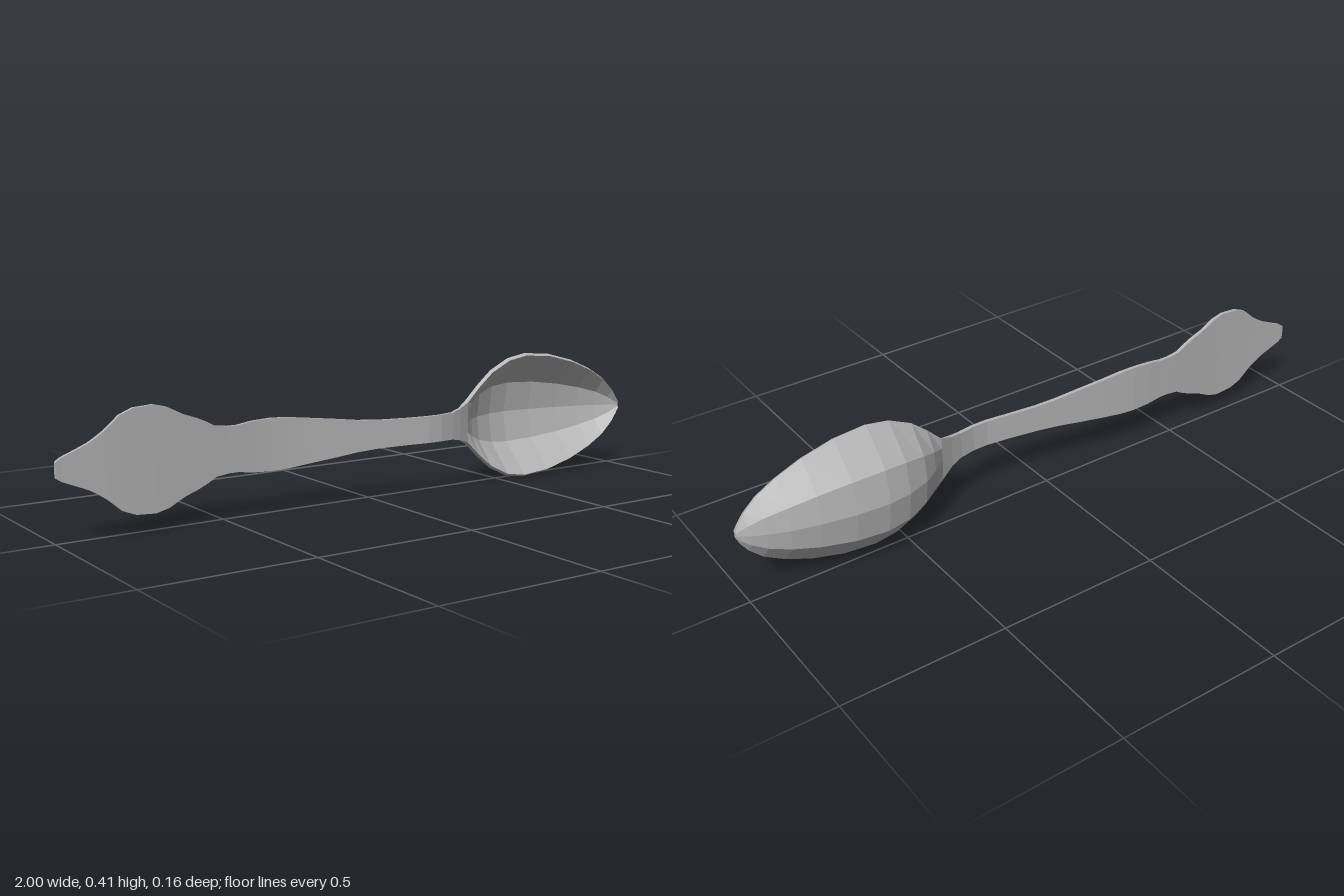
import * as THREE from 'three';

const CENTRE_Y = 0.2025;

// Stations along the spoon: [x, half width, back z at the edge, back z on the centre line]
const HANDLE = [
  [-1, 0.022, 0.012], [-0.985, 0.032, 0.012], [-0.95, 0.046, 0.013], [-0.91, 0.063, 0.015],
  [-0.885, 0.078, 0.016], [-0.86, 0.095, 0.017], [-0.82, 0.13, 0.018], [-0.78, 0.146, 0.018],
  [-0.72, 0.15, 0.017], [-0.68, 0.14, 0.016], [-0.63, 0.115, 0.014], [-0.59, 0.101, 0.013],
  [-0.56, 0.088, 0.012], [-0.53, 0.072, 0.011], [-0.49, 0.067, 0.01], [-0.46, 0.067, 0.01],
  [-0.41, 0.074, 0.009], [-0.35, 0.077, 0.01], [-0.3, 0.075, 0.013], [-0.23, 0.067, 0.019],
  [-0.15, 0.058, 0.028], [-0.07, 0.048, 0.037], [0, 0.043, 0.045], [0.1, 0.041, 0.058],
  [0.17, 0.041, 0.066], [0.22, 0.041, 0.065], [0.27, 0.042, 0.056], [0.31, 0.05, 0.044],
].map(([x, w, z]) => [x, w, z, z]);
const BOWL = [
  [0.31, 0.05, 0.044, 0.044], [0.355, 0.071, 0.026, 0.025], [0.4, 0.115, 0.027, -0.013],
  [0.45, 0.157, 0.028, -0.046], [0.52, 0.191, 0.029, -0.071], [0.59, 0.2025, 0.03, -0.08],
  [0.69, 0.194, 0.031, -0.073], [0.79, 0.168, 0.032, -0.054], [0.87, 0.135, 0.033, -0.033],
  [0.93, 0.1, 0.034, -0.01], [0.97, 0.062, 0.035, 0.01], [0.99, 0.033, 0.036, 0.024],
  [1, 0.012, 0.037, 0.033],
];

// Closed section: five points across the back, five returning across the front
function section([x, w, edge, mid], thickness, inset) {
  const across = [-1, -0.5, 0, 0.5, 1];
  const sag = [0, 0.85, 1, 0.85, 0];
  const row = (half, dz) => across.map((t, i) =>
    [x, CENTRE_Y + t * half, edge + (mid - edge) * sag[i] + dz]);
  return [...row(w, 0), ...row(w - Math.min(inset, w * 0.3), thickness).reverse()];
}

// Skin between successive sections, with a cap at either end on request
function loft(sections, capStart, capEnd) {
  const n = sections[0].length;
  const index = [];
  for (let i = 0; i < sections.length - 1; i++) {
    for (let j = 0; j < n; j++) {
      const a = i * n + j, b = i * n + (j + 1) % n;
      index.push(a, b, b + n, a, b + n, a + n);
    }
  }
  const last = (sections.length - 1) * n;
  for (let j = 0; j < n / 2 - 1; j++) {
    const a = j, b = j + 1, c = n - 2 - j, d = n - 1 - j;
    if (capStart) index.push(a, c, b, a, d, c);
    if (capEnd) index.push(last + a, last + b, last + c, last + a, last + c, last + d);
  }
  const geometry = new THREE.BufferGeometry();
  geometry.setAttribute('position', new THREE.Float32BufferAttribute(sections.flat(2), 3));
  geometry.setIndex(index);
  const faceted = geometry.toNonIndexed();
  faceted.computeVertexNormals();
  return faceted;
}

export function createModel() {
  const metal = new THREE.MeshStandardMaterial({ color: 0xb4b4b4, flatShading: true });
  metal.name = 'greyMetal';
  const spoon = new THREE.Group();
  spoon.name = 'spoon';

  // Flat curved handle with a shaped end
  const handle = new THREE.Mesh(
    loft(HANDLE.map((s) => section(s, 0.012, 0)), true, false), metal);
  handle.name = 'handle';

  // Hollow bowl; its first section meets the end of the handle
  const bowl = new THREE.Mesh(
    loft(BOWL.map((s, i) => section(s, 0.012, i === 0 ? 0 : 0.007)), false, true), metal);
  bowl.name = 'bowl';

  spoon.add(handle, bowl);
  return spoon;
}
